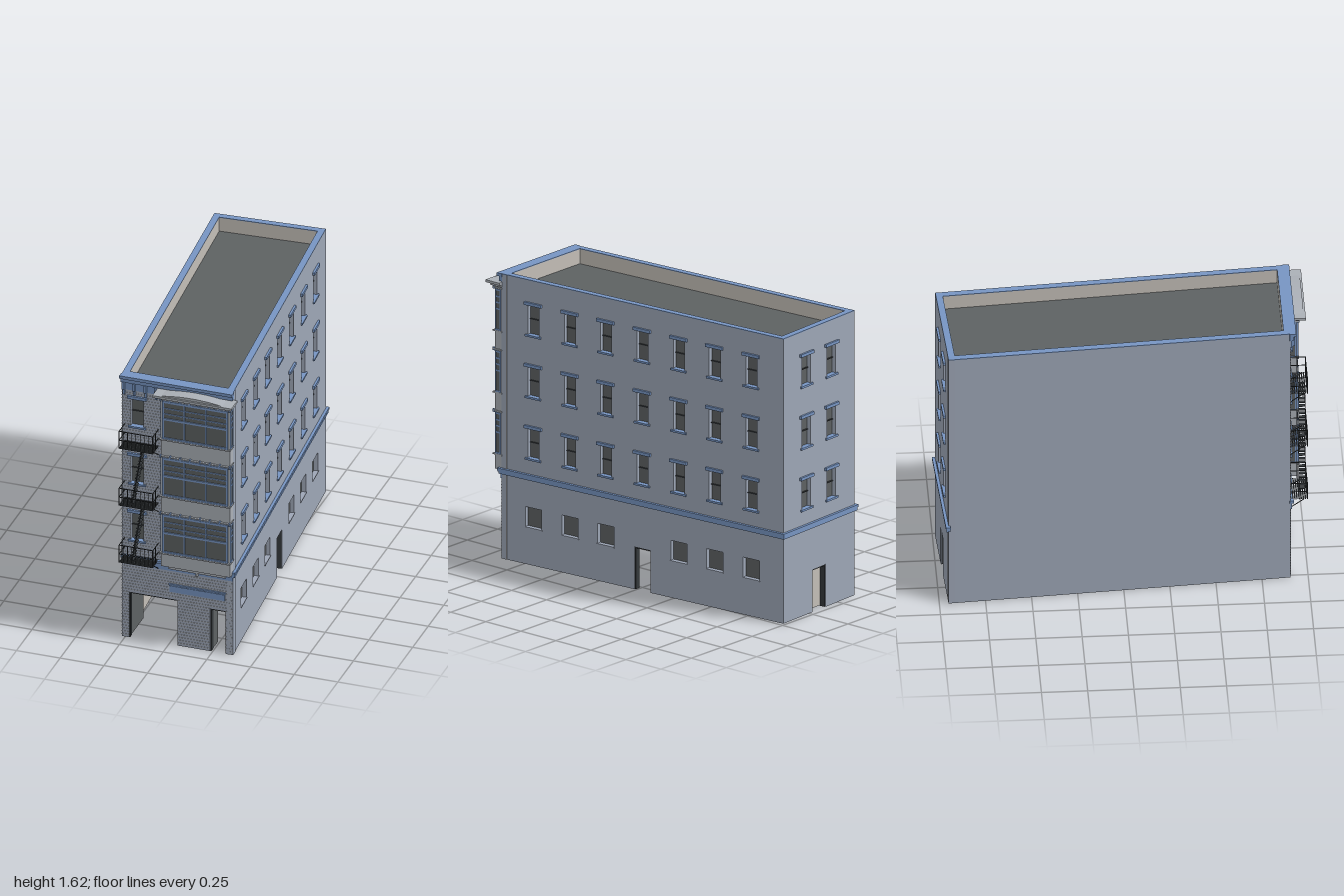
import * as THREE from 'three';

const mat = (name, color, side = THREE.FrontSide) => {
  const m = new THREE.MeshStandardMaterial({ color, side });
  m.name = name;
  return m;
};

export function createModel() {
  const M = {
    wall: mat('greyWall', 0x9da6b6),
    trim: mat('blueTrim', 0x7795c2),
    dark: mat('darkGlass', 0x5d6162),
    light: mat('paleInterior', 0xc3beb7, THREE.DoubleSide),
    panel: mat('bayPanel', 0xabb0b7),
    iron: mat('blackIron', 0x34383b),
  };
  const root = new THREE.Group();
  root.name = 'building';

  const H = 1.612, T = 0.035;
  const corners = [[-0.27, 0.905], [0.367, 0.905], [0.225, -0.985], [-0.4, -0.95]];

  const add = (parent, name, geo, m) => {
    const mesh = new THREE.Mesh(geo, m);
    mesh.name = name;
    parent.add(mesh);
    return mesh;
  };
  // Box given by its extents on each axis
  const box = (parent, name, m, x0, x1, y0, y1, z0, z1) => {
    const b = add(parent, name, new THREE.BoxGeometry(x1 - x0, y1 - y0, z1 - z0), m);
    b.position.set((x0 + x1) / 2, (y0 + y1) / 2, (z0 + z1) / 2);
    return b;
  };
  // Thin square bar between two points
  const bar = (parent, name, m, a, b, w = 0.0035) => {
    const p = new THREE.Vector3(...a), q = new THREE.Vector3(...b);
    const mesh = add(parent, name, new THREE.BoxGeometry(w, w, p.distanceTo(q)), m);
    mesh.position.copy(p).add(q).multiplyScalar(0.5);
    mesh.lookAt(q);
    return mesh;
  };

  // Wall seen from outside: local x runs left to right, local z points out
  function wall(name, i, windows, doors) {
    const [ax, az] = corners[i], [bx, bz] = corners[(i + 1) % 4];
    const L = Math.hypot(bx - ax, bz - az);
    const g = new THREE.Group();
    g.name = name;
    g.position.set(ax, 0, az);
    g.rotation.y = Math.atan2(az - bz, bx - ax);
    root.add(g);
    const s = new THREE.Shape();
    s.moveTo(0, 0);
    for (const [u0, u1, h] of doors) {
      s.lineTo(u0, 0); s.lineTo(u0, h); s.lineTo(u1, h); s.lineTo(u1, 0);
    }
    s.lineTo(L, 0); s.lineTo(L, H); s.lineTo(0, H); s.closePath();
    for (const w of windows) {
      const p = new THREE.Path(), a = w.u - w.w / 2, b = w.u + w.w / 2;
      p.moveTo(a, w.y0); p.lineTo(a, w.y1); p.lineTo(b, w.y1); p.lineTo(b, w.y0); p.closePath();
      s.holes.push(p);
    }
    add(g, name + 'Shell', new THREE.ExtrudeGeometry(s, { depth: T, bevelEnabled: false }), M.wall).position.z = -T;
    add(g, name + 'Lining', new THREE.ShapeGeometry(s), M.light).position.z = -T - 0.002;
    box(g, 'parapetCap', M.trim, 0, L, H, H + 0.004, -T - 0.002, 0);
    windows.forEach((w) => sash(g, w));
    // Dark door surround
    for (const [u0, u1, h] of doors) {
      box(g, 'doorHead', M.iron, u0, u1, h - 0.008, h, -T, -0.004);
      box(g, 'doorJamb', M.iron, u0, u0 + 0.007, 0, h, -T, -0.004);
      box(g, 'doorJamb', M.iron, u1 - 0.004, u1, 0, h, -T, -0.004);
    }
    return { g, L };
  }

  // Recessed sash window with sill and lintel
  function sash(g, { u, w, y0, y1, plain }) {
    const a = u - w / 2, b = u + w / 2, ym = (y0 + y1) / 2;
    box(g, 'windowGlass', M.dark, a, b, y0, y1, -T, -0.024);
    if (plain) {
      box(g, 'windowSill', M.wall, a - 0.004, b + 0.004, y0 - 0.006, y0, -0.02, 0.004);
      return;
    }
    box(g, 'windowRail', M.iron, a, b, ym - 0.003, ym + 0.003, -0.024, -0.018);
    box(g, 'windowSill', M.trim, a - 0.014, b + 0.014, y0 - 0.01, y0 + 0.001, -0.02, 0.01);
    box(g, 'windowLintel', M.trim, a - 0.019, b + 0.019, y1 - 0.002, y1 + 0.015, -0.01, 0.012);
  }

  const floors = [0.605, 0.955, 1.305];
  const upper = (us, w = 0.075) => us.flatMap((u) => floors.map((y0) => ({ u, w, y0, y1: y0 + 0.17 })));

  // Four walls
  const zs = [0.69, 0.445, 0.205, -0.04, -0.285, -0.525, -0.77].map((z) => (0.905 - z) * 1.0027);
  const ground = zs.filter((_, i) => i !== 3).map((u) => ({ u, w: 0.11, y0: 0.212, y1: 0.325, plain: true }));
  const frontDoors = [[0.04, 0.32, 0.28], [0.505, 0.595, 0.262]];
  const frontWindows = upper([0.088], 0.072);
  const front = wall('frontWall', 0, frontWindows, frontDoors);
  const right = wall('rightWall', 1, [...upper(zs), ...ground], [[0.895, 1.003, 0.242]]);
  const back = wall('backWall', 2, upper([0.2, 0.42]), [[0.255, 0.37, 0.242]]);
  wall('leftWall', 3, [], []);

  // Door leaves standing open, and the closed back door
  box(front.g, 'garageLeaf', M.dark, 0.035, 0.043, 0, 0.272, -0.23, -T);
  box(front.g, 'frontDoorLeaf', M.dark, 0.503, 0.51, 0, 0.256, -0.11, -T);
  box(right.g, 'sideDoorLeaf', M.dark, 1.0, 1.006, 0, 0.238, -0.1, -T);
  box(back.g, 'backDoorLeaf', M.dark, 0.367, 0.373, 0, 0.238, -0.1, -T);
  box(back.g, 'backDoor', M.light, 0.255, 0.37, 0.005, 0.242, -T - 0.004, -T + 0.002);

  // Sunken roof
  const roofShape = new THREE.Shape(corners.map(([x, z]) => new THREE.Vector2(
    x + (x > 0 ? -0.02 : 0.02), -(z + (z > 0 ? -0.02 : 0.02)))));
  const roof = add(root, 'roof', new THREE.ShapeGeometry(roofShape), M.dark);
  roof.rotation.x = -Math.PI / 2;
  roof.position.y = 1.53;

  // Belt course
  for (const { g, L } of [right, back]) {
    box(g, 'beltCourse', M.trim, -0.012, L + 0.012, 0.482, 0.508, -0.01, 0.012);
    box(g, 'beltCourseLip', M.trim, -0.016, L + 0.016, 0.5, 0.514, -0.01, 0.016);
  }
  box(root, 'frontBelt', M.trim, -0.27, 0.367, 0.455, 0.5, 0.9, 0.911);
  box(root, 'frontBeltLip', M.trim, -0.272, 0.38, 0.492, 0.508, 0.9, 0.922);

  // Siding lines, broken around openings
  const gaps = [
    ...frontDoors.map(([a, b, h]) => [a - 0.27, b - 0.27, 0, h]),
    ...frontWindows.map((w) => [w.u - w.w / 2 - 0.27, w.u + w.w / 2 - 0.27, w.y0 - 0.01, w.y1 + 0.015]),
    [0, 0.325, 0.322, 0.376],
    [-0.03, 0.367, 0.455, 1.62],
  ];
  for (let y = 0.016; y < 1.56; y += 0.0175) {
    if (y > 0.45 && y < 0.51) continue;
    let x = -0.27;
    const row = gaps.filter((q) => y > q[2] && y < q[3]).sort((p, q) => p[0] - q[0]);
    for (const [a, b] of [...row, [0.367, 0.367]]) {
      if (a - x > 0.005) box(root, 'sidingLine', M.panel, x, a, y - 0.002, y + 0.002, 0.904, 0.907);
      x = b;
    }
  }

  // Blank sign board
  box(root, 'signBoard', M.trim, 0.005, 0.32, 0.325, 0.362, 0.9, 0.91);
  box(root, 'signBoardTop', M.trim, 0, 0.325, 0.366, 0.375, 0.9, 0.913);

  // Projecting bay with three glazed storeys
  const bay = new THREE.Group();
  bay.name = 'bay';
  root.add(bay);
  const X0 = -0.03, X1 = 0.366, Z = 0.952;
  box(bay, 'bayBody', M.panel, X0, X1, 0.5, 1.555, 0.9, Z);
  box(bay, 'bayApron', M.panel, 0.005, 0.33, 0.476, 0.492, 0.9, 0.93);
  box(bay, 'bayPendant', M.panel, 0.16, 0.17, 0.455, 0.48, 0.9, 0.93);
  for (const y of [0.588, 0.938, 1.288]) {
    const t = y + 0.235;
    box(bay, 'bayGlass', M.dark, X0 + 0.015, X1 - 0.015, y, t, Z, Z + 0.003);
    for (const h of [[0, 0.01], [0.116, 0.128], [0.152, 0.157], [0.186, 0.191], [0.222, 0.235]])
      box(bay, 'bayRail', M.trim, X0 + 0.012, X1 - 0.012, y + h[0], y + h[1], Z, Z + 0.009);
    for (const [x, w, top] of [[-0.015, 0.005, t], [0.105, 0.003, t], [0.228, 0.003, t], [0.35, 0.005, t]])
      box(bay, 'bayMullion', M.trim, x - w, x + w, y, top, Z, Z + 0.009);
    // Narrow side lights
    for (const s of [-1, 1]) {
      const x = s < 0 ? X0 : X1;
      box(bay, 'baySideGlass', M.dark, x - 0.002, x + 0.002, y, t, 0.912, 0.946);
      for (const h of [0, 0.118, 0.154, 0.188, 0.225])
        box(bay, 'baySideRail', M.trim, x - 0.004, x + 0.004, y + h, y + h + 0.009, 0.91, 0.948);
      for (const z of [0.91, 0.943])
        box(bay, 'baySideStile', M.trim, x - 0.004, x + 0.004, y, t, z, z + 0.006);
    }
    box(bay, 'bayMoulding', M.panel, X0 - 0.006, X1 + 0.005, y - 0.008, y, 0.9, Z + 0.012);
    box(bay, 'bayMoulding', M.panel, X0 - 0.006, X1 + 0.005, t + 0.004, t + 0.01, 0.9, Z + 0.012);
    for (let i = 0; i < 8; i++) {
      const x = X0 + (i * (X1 - X0)) / 7;
      box(bay, 'bayDentil', M.trim, x - 0.004, x + 0.004, t - 0.003, t + 0.015, Z, Z + 0.014);
    }
  }

  // Bay hood with a shallow arched crest
  box(bay, 'bayHoodBed', M.panel, -0.045, 0.378, 1.54, 1.555, 0.9, 0.975);
  box(bay, 'bayHood', M.panel, -0.062, 0.39, 1.553, 1.567, 0.9, 1.0);
  const arch = new THREE.Shape();
  arch.moveTo(-0.02, 0);
  arch.lineTo(0.34, 0);
  arch.quadraticCurveTo(0.16, 0.032, -0.02, 0);
  add(bay, 'bayHoodCrest', new THREE.ExtrudeGeometry(arch, { depth: 0.07, bevelEnabled: false, curveSegments: 14 }), M.panel)
    .position.set(0, 1.566, 0.92);

  // Main cornice with brackets
  box(root, 'cornice', M.trim, -0.272, 0.369, 1.572, 1.6, 0.9, 0.922);
  box(root, 'corniceCrown', M.trim, -0.274, 0.371, 1.598, 1.616, 0.9, 0.935);
  box(root, 'corniceFrieze', M.trim, -0.27, -0.035, 1.525, 1.575, 0.9, 0.912);
  for (const x of [-0.255, -0.195, -0.13, -0.07]) {
    box(root, 'corniceBracket', M.trim, x - 0.007, x + 0.007, 1.53, 1.575, 0.9, 0.93);
    box(root, 'corniceBracketDrop', M.trim, x - 0.005, x + 0.005, 1.497, 1.535, 0.9, 0.919);
  }

  // Fire escape balconies
  const escape = new THREE.Group();
  escape.name = 'fireEscape';
  root.add(escape);
  const BX0 = -0.253, BX1 = -0.06, BZ0 = 0.907, BZ1 = 0.997, RH = 0.105;
  const decks = [0.505, 0.855, 1.205];
  for (const y of decks) {
    for (let i = 0; i < 9; i++) {
      const z = BZ0 + (i * (BZ1 - BZ0)) / 8;
      box(escape, 'deckSlat', M.iron, BX0, BX1, y, y + 0.004, z - 0.0035, z + 0.0035);
    }
    for (const h of [0.05, RH]) {
      bar(escape, 'frontRail', M.iron, [BX0, y + h, BZ1], [BX1, y + h, BZ1]);
      for (const x of [BX0, BX1]) bar(escape, 'sideRail', M.iron, [x, y + h, BZ0], [x, y + h, BZ1]);
    }
    for (let i = 0; i <= 8; i++) {
      const x = BX0 + (i * (BX1 - BX0)) / 8;
      bar(escape, 'baluster', M.iron, [x, y, BZ1], [x, y + RH, BZ1], i % 8 ? 0.0025 : 0.005);
    }
    for (const x of [BX0, BX1]) {
      bar(escape, 'sidePost', M.iron, [x, y, 0.952], [x, y + RH, 0.952]);
      bar(escape, 'deckBrace', M.iron, [x, y - 0.05, BZ0], [x, y, BZ1 - 0.02]);
    }
  }

  // Steep stairs between balconies
  for (const y of decks.slice(0, 2)) {
    const rise = 0.35, xa = -0.185, xb = -0.125;
    for (const z of [0.955, 0.99])
      bar(escape, 'stairStringer', M.iron, [xa, y, z], [xb, y + rise, z], 0.003);
    for (let i = 1; i < 16; i++) {
      const f = i / 16, x = xa + (xb - xa) * f, ty = y + rise * f;
      box(escape, 'stairTread', M.iron, x - 0.01, x + 0.01, ty, ty + 0.003, 0.955, 0.99);
    }
  }
  return root;
}
